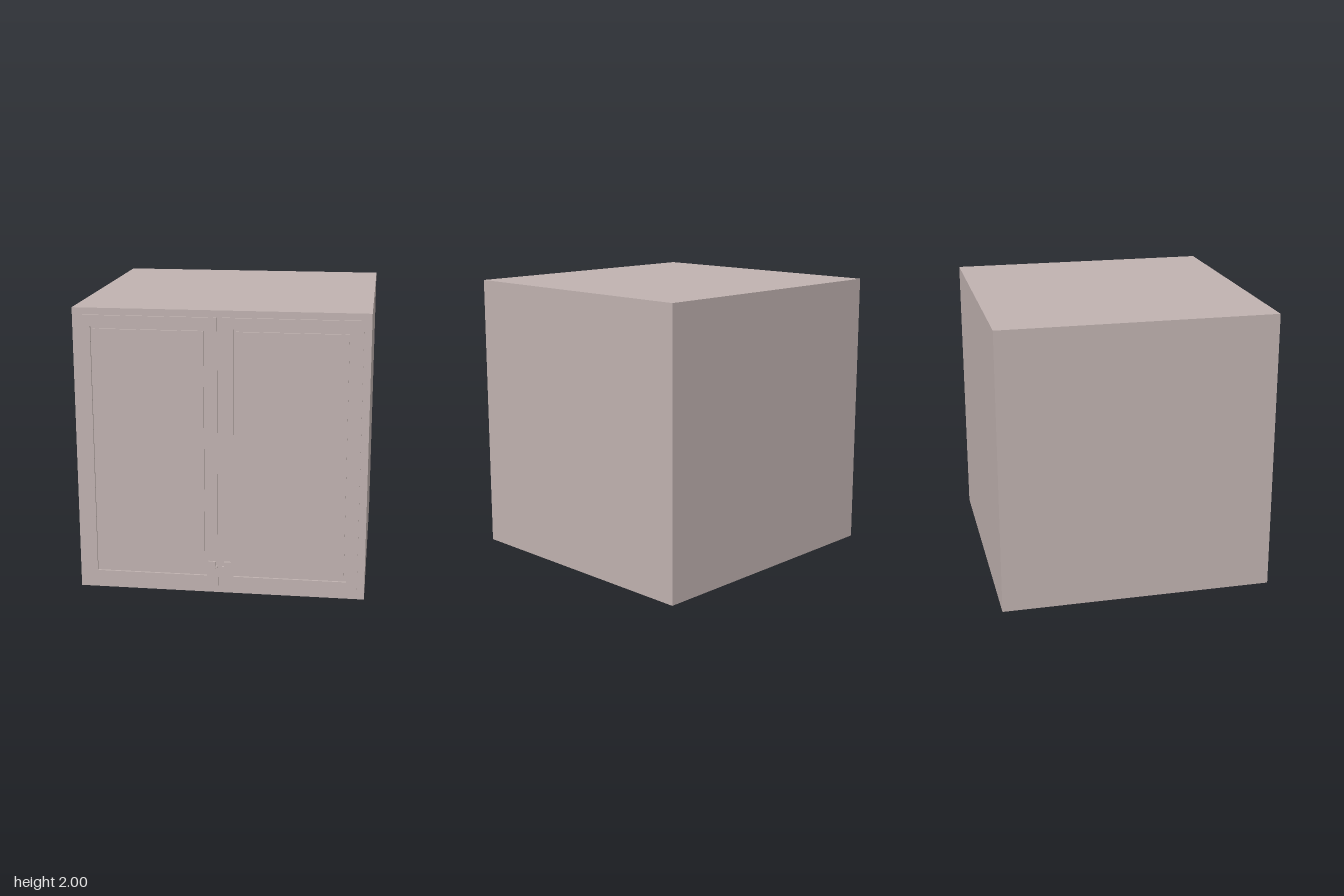
import * as THREE from 'three';

const paint = new THREE.MeshStandardMaterial({ color: 0xc0b2b0 });
paint.name = 'dusty taupe paint';

// Box given by its lower and upper corners
function box(name, [x0, y0, z0], [x1, y1, z1]) {
  const mesh = new THREE.Mesh(new THREE.BoxGeometry(x1 - x0, y1 - y0, z1 - z0), paint);
  mesh.name = name;
  mesh.position.set((x0 + x1) / 2, (y0 + y1) / 2, (z0 + z1) / 2);
  return mesh;
}

function rectangle(path, x0, y0, x1, y1) {
  return path.moveTo(x0, y0).lineTo(x1, y0).lineTo(x1, y1).lineTo(x0, y1).closePath();
}

const FACE = 0.942;   // front of the cabinet body
const DOOR = 0.956;   // front of the doors

// Door frame with a groove around a flush centre panel
function door(name, x0, x1) {
  const group = new THREE.Group();
  group.name = name;
  const shape = rectangle(new THREE.Shape(), x0, 0.05, x1, 1.953);
  shape.holes.push(rectangle(new THREE.Path(), x0 + 0.076, 0.127, x1 - 0.076, 1.877));
  const frame = new THREE.Mesh(
    new THREE.ExtrudeGeometry(shape, { depth: DOOR - FACE, bevelEnabled: false }), paint);
  frame.name = 'doorFrame';
  frame.position.z = FACE;
  group.add(frame, box('doorPanel', [x0 + 0.092, 0.143, FACE], [x1 - 0.092, 1.861, DOOR]));
  return group;
}

// Square knob on a short stem, with a small tab toward the door gap
function knob(name, inner, side) {
  const group = new THREE.Group();
  group.name = name;
  const part = (label, a, b, y0, y1, z0, z1) => {
    const xs = [inner + side * a, inner + side * b].sort((p, q) => p - q);
    group.add(box(label, [xs[0], y0, z0], [xs[1], y1, z1]));
  };
  part('knobStem', 0.016, 0.044, 0.197, 0.227, DOOR, 0.973);
  part('knobPlate', 0.014, 0.062, 0.18, 0.245, 0.973, 0.988);
  part('knobTab', 0, 0.014, 0.199, 0.211, 0.973, 0.988);
  return group;
}

export function createModel() {
  const model = new THREE.Group();
  model.name = 'cabinet';
  model.add(
    box('cabinetBody', [-1, 0, -0.988], [1, 2, FACE]),
    door('rightDoor', -0.952, -0.018),
    door('leftDoor', 0.015, 0.949),
    knob('rightKnob', -0.018, -1),
    knob('leftKnob', 0.015, 1)
  );
  return model;
}
